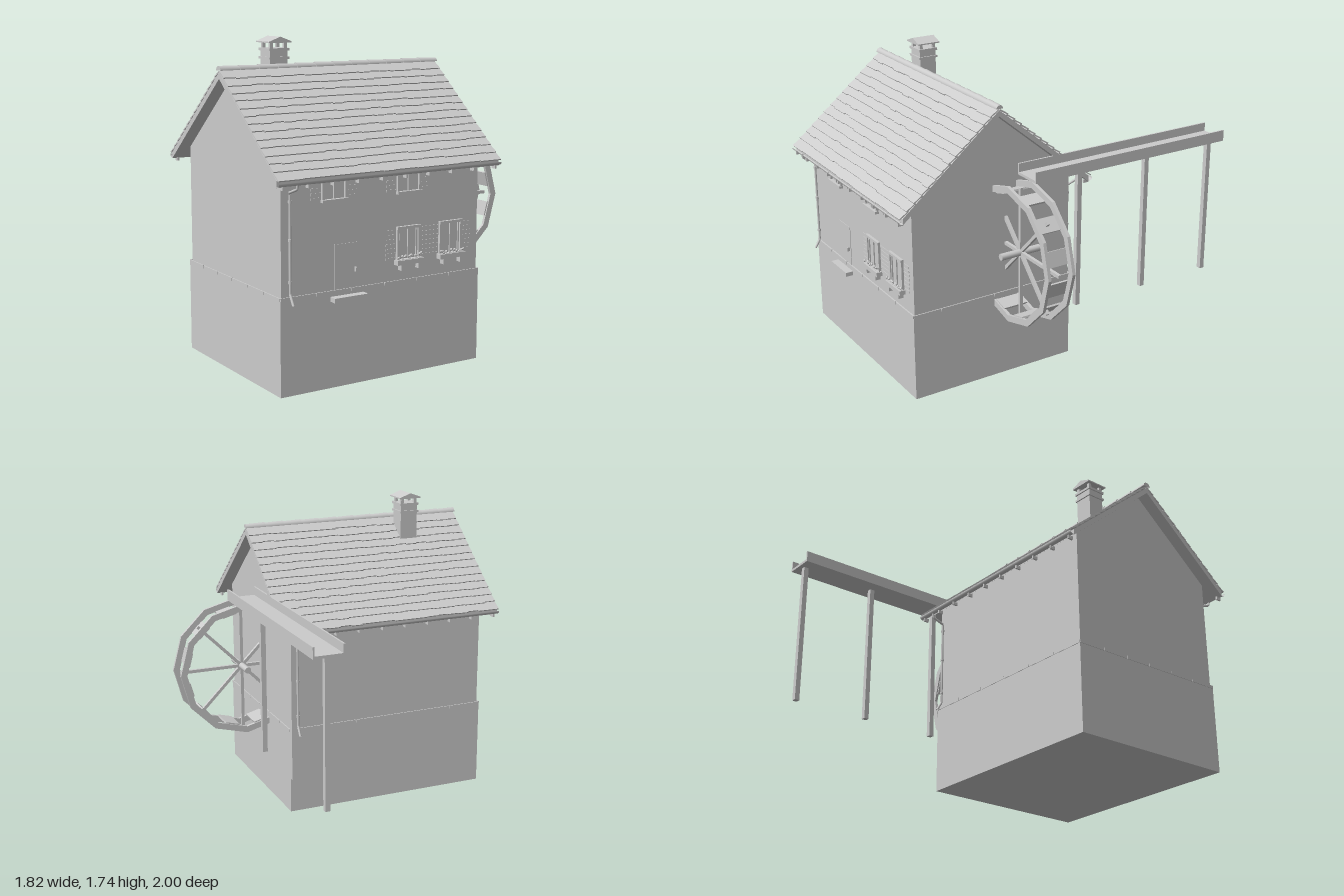
import * as THREE from 'three';
import { mergeGeometries } from 'three/addons/utils/BufferGeometryUtils.js';

const plaster = new THREE.MeshStandardMaterial({ color: 0xcccccc, side: THREE.DoubleSide });
plaster.name = 'light grey';

function add(parent, name, geometry, x = 0, y = 0, z = 0) {
  const mesh = new THREE.Mesh(geometry, plaster);
  mesh.name = name;
  mesh.position.set(x, y, z);
  parent.add(mesh);
  return mesh;
}
// Box given by its min and max on each axis
function span(parent, name, x0, x1, y0, y1, z0, z1) {
  return add(parent, name, new THREE.BoxGeometry(x1 - x0, y1 - y0, z1 - z0),
    (x0 + x1) / 2, (y0 + y1) / 2, (z0 + z1) / 2);
}
function group(parent, name, x = 0, y = 0, z = 0) {
  const g = new THREE.Group();
  g.name = name;
  g.position.set(x, y, z);
  parent.add(g);
  return g;
}
// Extrude a (z, y) outline along x
function alongX(points, x0, x1) {
  const shape = new THREE.Shape(points.map(p => new THREE.Vector2(p[0], p[1])));
  const geo = new THREE.ExtrudeGeometry(shape, { depth: x1 - x0, bevelEnabled: false });
  return geo.rotateY(-Math.PI / 2).translate(x1, 0, 0);
}
let seed = 7;
const random = () => (seed = (seed * 16807) % 2147483647) / 2147483647;

const SLOPE = 0.826, PITCH = Math.atan(SLOPE), MID_X = -0.235, RIDGE_Z = 0.4, ROOF_W = 1.35;

function buildHouse(root) {
  const house = group(root, 'house');
  span(house, 'stoneBase', -0.85, 0.376, 0, 0.5, -0.1, 0.9);
  const eave = 1.55 - 0.49 * SLOPE;
  add(house, 'upperWalls', alongX(
    [[-0.09, 0.5], [0.89, 0.5], [0.89, eave], [RIDGE_Z, 1.55], [-0.09, eave]], -0.84, 0.368));
  // Flashing strips around the top of the base
  for (let i = 0; i < 6; i++) {
    const x = -0.85 + i * 0.2043, z = -0.1 + i * 0.1667;
    for (const s of [-0.1, 0.9]) span(house, 'flashing', x + 0.002, x + 0.202, 0.488, 0.505, s - 0.003, s + 0.003);
    for (const s of [-0.85, 0.376]) span(house, 'flashing', s - 0.003, s + 0.003, 0.488, 0.505, z + 0.002, z + 0.165);
  }
}

function buildRoof(root) {
  const roof = group(root, 'roof');
  const e = 0.575, top = 1.575, t = 0.034;
  add(roof, 'roofDeck', alongX([
    [RIDGE_Z, top], [RIDGE_Z - e, top - e * SLOPE], [RIDGE_Z - e, top - e * SLOPE - t],
    [RIDGE_Z, top - t], [RIDGE_Z + e, top - e * SLOPE - t], [RIDGE_Z + e, top - e * SLOPE]], -0.91, 0.44));

  for (const turn of [0, Math.PI]) {
    const side = group(roof, turn ? 'backRoofSide' : 'frontRoofSide', MID_X, top, RIDGE_Z);
    side.rotation.y = turn;

    // Overlapping tile rows with slightly uneven ends
    const tiles = [], rows = 14, cols = 20, w = ROOF_W / cols, step = 0.752 / rows;
    for (let r = 0; r < rows; r++) {
      for (let c = 0; c < cols; c++) {
        const len = step + 0.004 + Math.floor(random() * 3) * 0.003;
        const tile = new THREE.BoxGeometry(w, 0.007, len);
        tile.translate(0, 0.004, len / 2).rotateX(-0.12);
        tiles.push(tile.translate((c + 0.5) * w - ROOF_W / 2, 0, r * step));
      }
    }
    add(side, 'roofTiles', mergeGeometries(tiles)).rotation.x = PITCH;

    // Gutter with brackets
    const gutter = new THREE.CylinderGeometry(0.018, 0.018, ROOF_W, 10, 1, true, Math.PI, Math.PI);
    add(side, 'gutter', gutter.rotateZ(Math.PI / 2), 0, 1.088 - top, 0.582);
    for (let i = 0; i < 10; i++) {
      add(side, 'gutterBracket', new THREE.BoxGeometry(0.01, 0.02, 0.03), -0.645 + i * 0.1433, 1.062 - top, 0.575);
    }

    // Downpipe with clips
    const pipe = new THREE.CurvePath();
    const path = [[1.075, 0.585], [1.05, 0.58], [1.025, 0.51], [0.52, 0.51], [0.47, 0.54]]
      .map(p => new THREE.Vector3(-0.565, p[0] - top, p[1]));
    for (let i = 1; i < path.length; i++) pipe.add(new THREE.LineCurve3(path[i - 1], path[i]));
    add(side, 'downpipe', new THREE.TubeGeometry(pipe, 60, 0.007, 8, false));
    for (const y of [0.58, 0.79, 0.98]) {
      add(side, 'pipeClip', new THREE.CylinderGeometry(0.01, 0.01, 0.012, 8), -0.565, y - top, 0.51);
    }
  }

  // Ridge caps, alternately raised where they overlap
  for (let i = 0; i < 12; i++) {
    const cap = new THREE.CylinderGeometry(0.024, 0.02, 0.118, 10, 1, false, 0, Math.PI);
    add(roof, 'ridgeCap', cap.rotateZ(Math.PI / 2), -0.854 + i * 0.1127, 1.583, RIDGE_Z);
  }
}

function buildChimney(root) {
  const c = group(root, 'chimney', -0.538, 0, 0.307);
  span(c, 'chimneyStack', -0.053, 0.053, 1.4, 1.67, -0.05, 0.05);
  span(c, 'lowerBand', -0.06, 0.06, 1.625, 1.637, -0.058, 0.058);
  span(c, 'upperBand', -0.06, 0.06, 1.668, 1.682, -0.058, 0.058);
  for (const x of [-0.042, 0.042]) for (const z of [-0.04, 0.04]) {
    span(c, 'capPost', x - 0.009, x + 0.009, 1.682, 1.716, z - 0.009, z + 0.009);
  }
  const gable = new THREE.Shape([[-0.068, 1.71], [0.068, 1.71], [0.068, 1.717], [0, 1.742], [-0.068, 1.717]]
    .map(p => new THREE.Vector2(...p)));
  add(c, 'chimneyCap', new THREE.ExtrudeGeometry(gable, { depth: 0.136, bevelEnabled: false }), 0, 0, -0.068);
}

function buildWindow(root, x, y0, y1, withBox) {
  const g = group(root, 'window', x, 0, 0.89), h = 0.074;
  for (const s of [-1, 1]) {
    add(g, 'frameSide', new THREE.BoxGeometry(0.014, y1 - y0, 0.016), s * (h - 0.007), (y0 + y1) / 2, 0.006);
    // Slatted shutters
    for (let y = y0 + 0.02; y < y1 - 0.02; y += 0.024) {
      add(g, 'shutterSlat', new THREE.BoxGeometry(0.058, 0.012, 0.004), s * 0.108, y, 0.001);
    }
    if (withBox) {
      add(g, 'sash', new THREE.BoxGeometry(0.008, y1 - y0 - 0.03, 0.01), s * 0.052, (y0 + y1) / 2, 0.004);
      span(g, 'boxBracket', s * 0.055 - 0.004, s * 0.055 + 0.004, 0.557, 0.59, 0, 0.03);
    }
  }
  span(g, 'frameTop', -h, h, y1 - 0.014, y1, -0.002, 0.016);
  span(g, 'sill', -h - 0.003, h + 0.003, y0, y0 + 0.014, -0.002, 0.024);
  span(g, 'mullion', -0.005, 0.005, y0, y1, -0.002, 0.009);
  span(g, 'pane', -h, h, y0, y1, -0.002, 0.002);
  if (!withBox) return;
  // Planter with small flowers
  span(g, 'flowerBox', -0.084, 0.084, 0.587, 0.612, 0, 0.034);
  for (let i = 0; i < 12; i++) {
    add(g, 'flower', new THREE.IcosahedronGeometry(0.008, 0),
      -0.075 + i * 0.0136, 0.612 + random() * 0.025, 0.012 + random() * 0.018);
  }
}

function buildDoor(root) {
  const door = group(root, 'door');
  span(door, 'doorPanel', -0.535, -0.395, 0.478, 0.735, 0.885, 0.893);
  span(door, 'doorHandle', -0.414, -0.406, 0.585, 0.608, 0.89, 0.908);
  span(door, 'doorStep', -0.563, -0.365, 0.45, 0.474, 0.88, 0.945);
}

function buildWheel(root) {
  const wheel = group(root, 'waterWheel', 0.515, 0.787, 0.317);
  const ring = (r, Kind) => new Kind(Array.from({ length: 12 }, (_, i) =>
    new THREE.Vector2(r * Math.cos(i * Math.PI / 6), r * Math.sin(i * Math.PI / 6))));
  const rim = ring(0.391, THREE.Shape);
  rim.holes.push(ring(0.354, THREE.Path));
  for (const z of [-0.083, 0.065]) {
    add(wheel, 'wheelRim', new THREE.ExtrudeGeometry(rim, { depth: 0.018, bevelEnabled: false }), 0, 0, z);
  }
  // Boards between the rims
  for (let i = 0; i < 12; i++) {
    const a = (i + 0.5) * Math.PI / 6;
    const board = add(wheel, 'paddle', new THREE.BoxGeometry(0.01, 0.085, 0.15), 0.34 * Math.cos(a), 0.34 * Math.sin(a), 0);
    board.rotation.z = a;
  }
  for (let i = 0; i < 4; i++) {
    add(wheel, 'spoke', new THREE.BoxGeometry(0.74, 0.018, 0.018)).rotation.z = i * Math.PI / 4;
  }
  add(wheel, 'axle', new THREE.CylinderGeometry(0.019, 0.019, 0.244, 12).rotateX(Math.PI / 2), 0, 0, 0.005);
}

function buildFlume(root) {
  const flume = group(root, 'flume');
  span(flume, 'flumeFloor', 0.43, 0.6, 1.197, 1.212, -1, 0.28);
  for (const x of [0.43, 0.592]) span(flume, 'flumeSide', x, x + 0.01, 1.197, 1.26, -1, 0.28);
  for (const z of [-0.053, -0.508, -0.96]) span(flume, 'flumePost', 0.501, 0.529, 0.38, 1.2, z - 0.014, z + 0.014);
}

export function createModel() {
  const root = new THREE.Group();
  root.name = 'watermill';
  buildHouse(root);
  buildRoof(root);
  buildChimney(root);
  for (const x of [-0.537, -0.085]) buildWindow(root, x, 0.955, 1.1, false);
  for (const x of [-0.085, 0.187]) buildWindow(root, x, 0.6, 0.785, true);
  buildDoor(root);
  buildWheel(root);
  buildFlume(root);
  return root;
}
